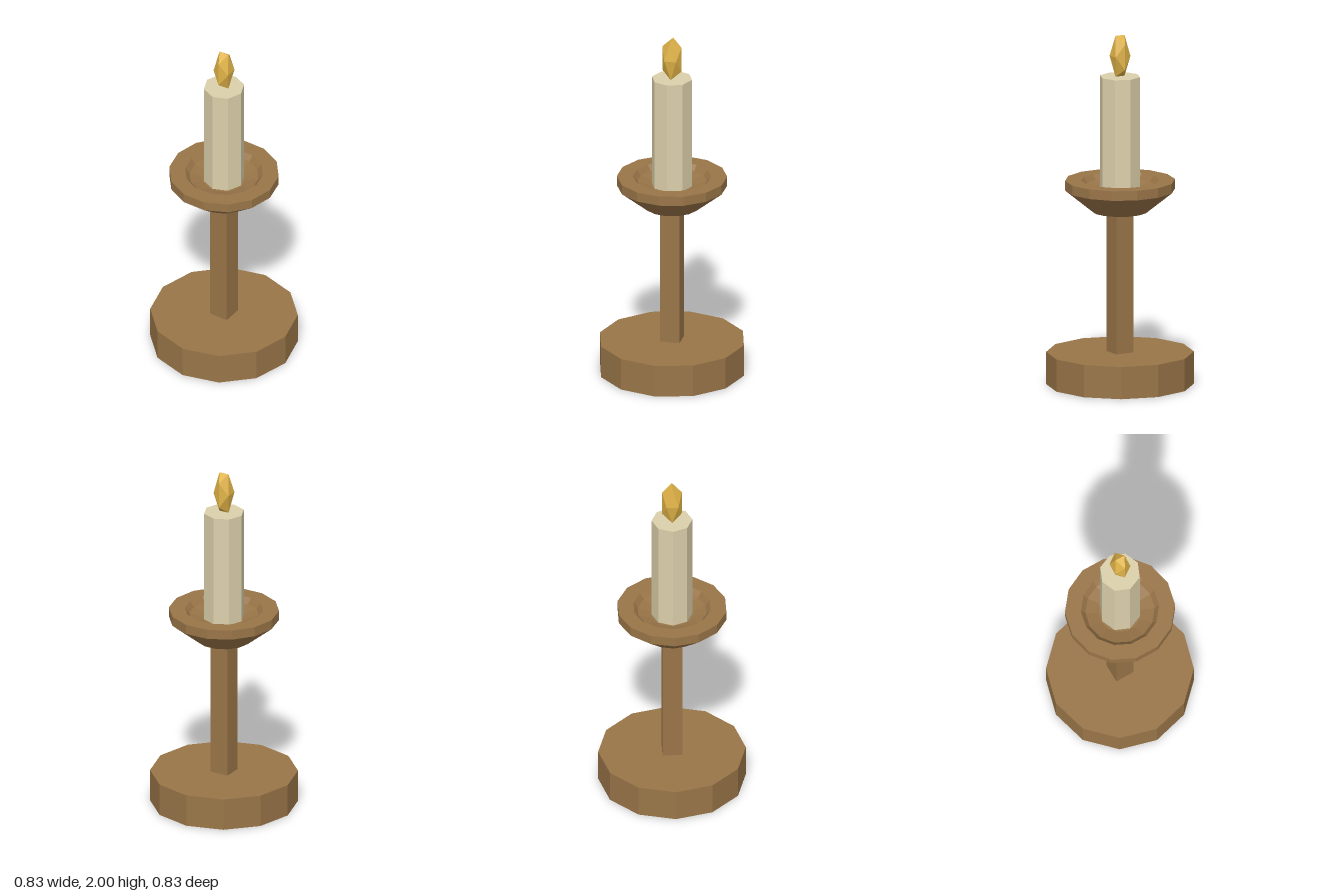
import * as THREE from 'three';

export function createModel() {
  const model = new THREE.Group();
  model.name = 'candlestick';

  const material = (name, color) => {
    const m = new THREE.MeshStandardMaterial({ color, flatShading: true });
    m.name = name;
    return m;
  };
  const wood = material('brown wood', 0x997548);
  const wax = material('cream wax', 0xdcd0ab);
  const fire = material('golden flame', 0xe0b348);

  const add = (name, geometry, mat, y = 0) => {
    const mesh = new THREE.Mesh(geometry, mat);
    mesh.name = name;
    mesh.position.y = y;
    model.add(mesh);
    return mesh;
  };

  // Twelve-sided foot
  add('base', new THREE.CylinderGeometry(0.415, 0.415, 0.185, 12), wood, 0.0925);

  // Square post
  add('stem', new THREE.BoxGeometry(0.112, 0.81, 0.112), wood, 0.587);

  // Drip dish: flared underside, flat rim and shallow hollow
  const profile = [
    [0, 0.99], [0.155, 0.99], [0.31, 1.115], [0.31, 1.17],
    [0.22, 1.17], [0.195, 1.14], [0.122, 1.12], [0, 1.12],
  ].map(([r, y]) => new THREE.Vector2(r, y));
  const dish = add('dish', new THREE.LatheGeometry(profile, 14), wood);
  dish.rotation.y = Math.PI / 2;

  // Eight-sided candle standing on the dish floor
  add('candle', new THREE.CylinderGeometry(0.115, 0.115, 0.645, 8), wax, 1.4425);

  // Faceted flame, stretched upward
  const flame = add('flame', new THREE.IcosahedronGeometry(1, 0), fire, 1.8825);
  flame.scale.set(0.0564, 0.138, 0.0646);

  return model;
}
